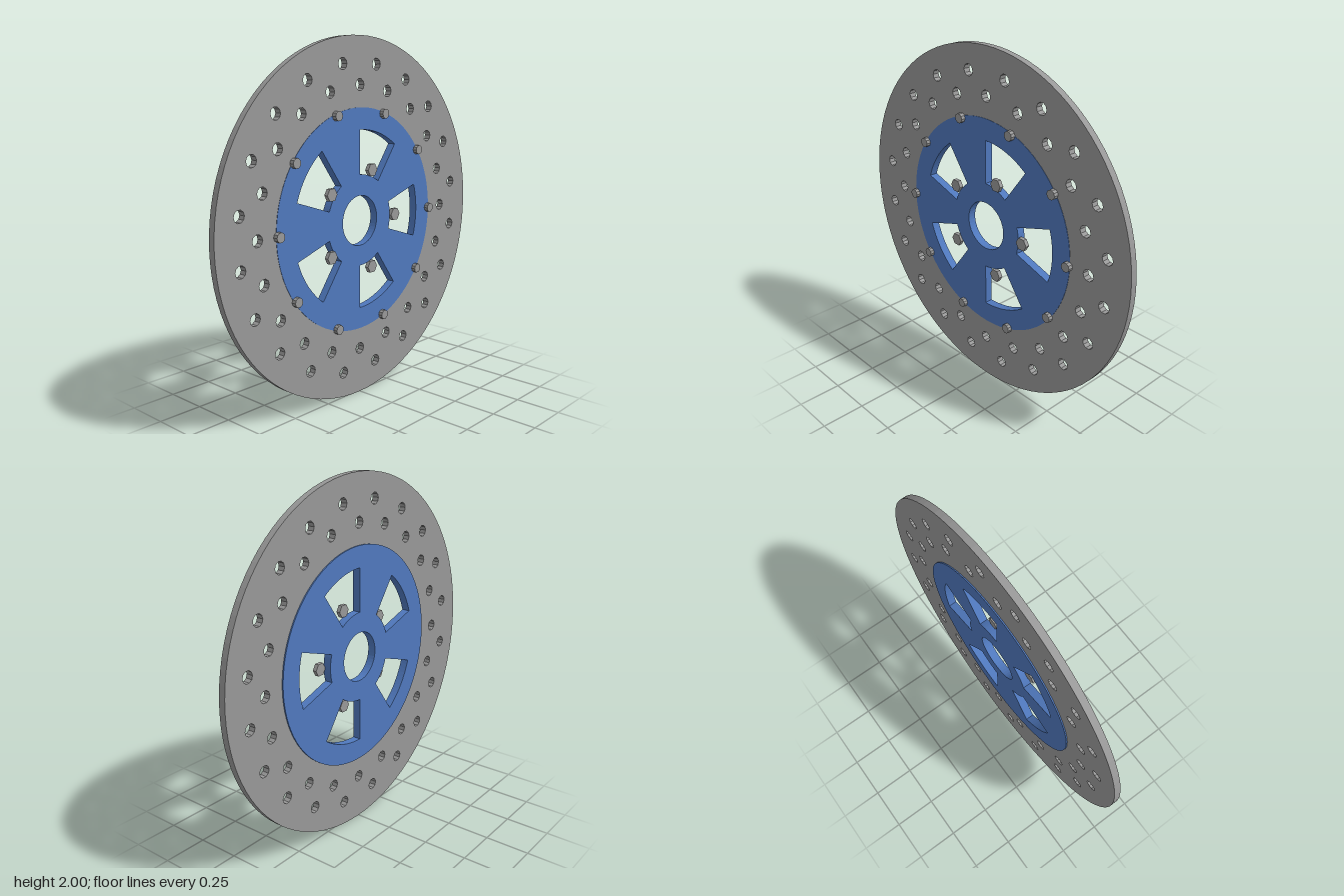
import * as THREE from 'three';

const steel = new THREE.MeshStandardMaterial({ name: 'steel grey', color: 0x999999 });
const blue = new THREE.MeshStandardMaterial({ name: 'anodised blue', color: 0x5079be });

// Points along an arc, angles in degrees
function arc(r, from, to, n, cx = 0, cy = 0) {
  const pts = [];
  for (let i = 0; i <= n; i++) {
    const a = THREE.MathUtils.degToRad(from + ((to - from) * i) / n);
    pts.push(new THREE.Vector2(cx + r * Math.cos(a), cy + r * Math.sin(a)));
  }
  return pts;
}

// Closed regular outline
const ring = (r, n, cx = 0, cy = 0) => arc(r, 0, 360, n, cx, cy).slice(0, n);

// Centre of item i out of n on a circle of radius r
function polar(r, i, n, offset = 0) {
  const a = (i / n) * Math.PI * 2 + offset;
  return [r * Math.cos(a), r * Math.sin(a)];
}

// Flat plate with holes between two z values
function plate(name, outline, holes, back, front, material) {
  const shape = new THREE.Shape(outline);
  shape.holes = holes.map((h) => new THREE.Path(h));
  const geo = new THREE.ExtrudeGeometry(shape, { depth: front - back, bevelEnabled: false });
  geo.translate(0, 0, back);
  const mesh = new THREE.Mesh(geo, material);
  mesh.name = name;
  return mesh;
}

export function createModel() {
  const model = new THREE.Group();
  model.name = 'brakeDisc';
  const disc = new THREE.Group();
  disc.name = 'discAssembly';
  disc.position.y = 1;
  model.add(disc);

  // Outer rotor with two staggered rows of drilled holes
  const drilled = [ring(0.6, 96)];
  for (let i = 0; i < 20; i++) {
    drilled.push(ring(0.033, 10, ...polar(0.86, i, 20, Math.PI / 20)));
    drilled.push(ring(0.033, 10, ...polar(0.74, i, 20)));
  }
  disc.add(plate('rotor', ring(1, 96), drilled, -0.028, 0.01, steel));

  // Blue carrier with a centre bore and five sector windows
  const windows = [ring(0.14, 48)];
  for (let i = 0; i < 5; i++) {
    const mid = i * 72;
    windows.push([...arc(0.255, mid - 18, mid + 18, 10), ...arc(0.5, mid + 18, mid - 18, 12)]);
  }
  disc.add(plate('carrier', ring(0.62, 96), windows, -0.035, 0.012, blue));

  // Fasteners standing on the front face
  function bolts(name, count, circle, radius, sides, back, front) {
    const group = new THREE.Group();
    group.name = name;
    for (let i = 0; i < count; i++) {
      const [x, y] = polar(circle, i, count);
      const bolt = plate('bolt', ring(radius, sides), [], back, front, steel);
      bolt.position.set(x, y, 0);
      group.add(bolt);
    }
    disc.add(group);
  }
  bolts('rimRivets', 10, 0.61, 0.027, 10, 0, 0.036);
  bolts('hubBolts', 5, 0.289, 0.038, 6, 0.003, 0.026);

  return model;
}
